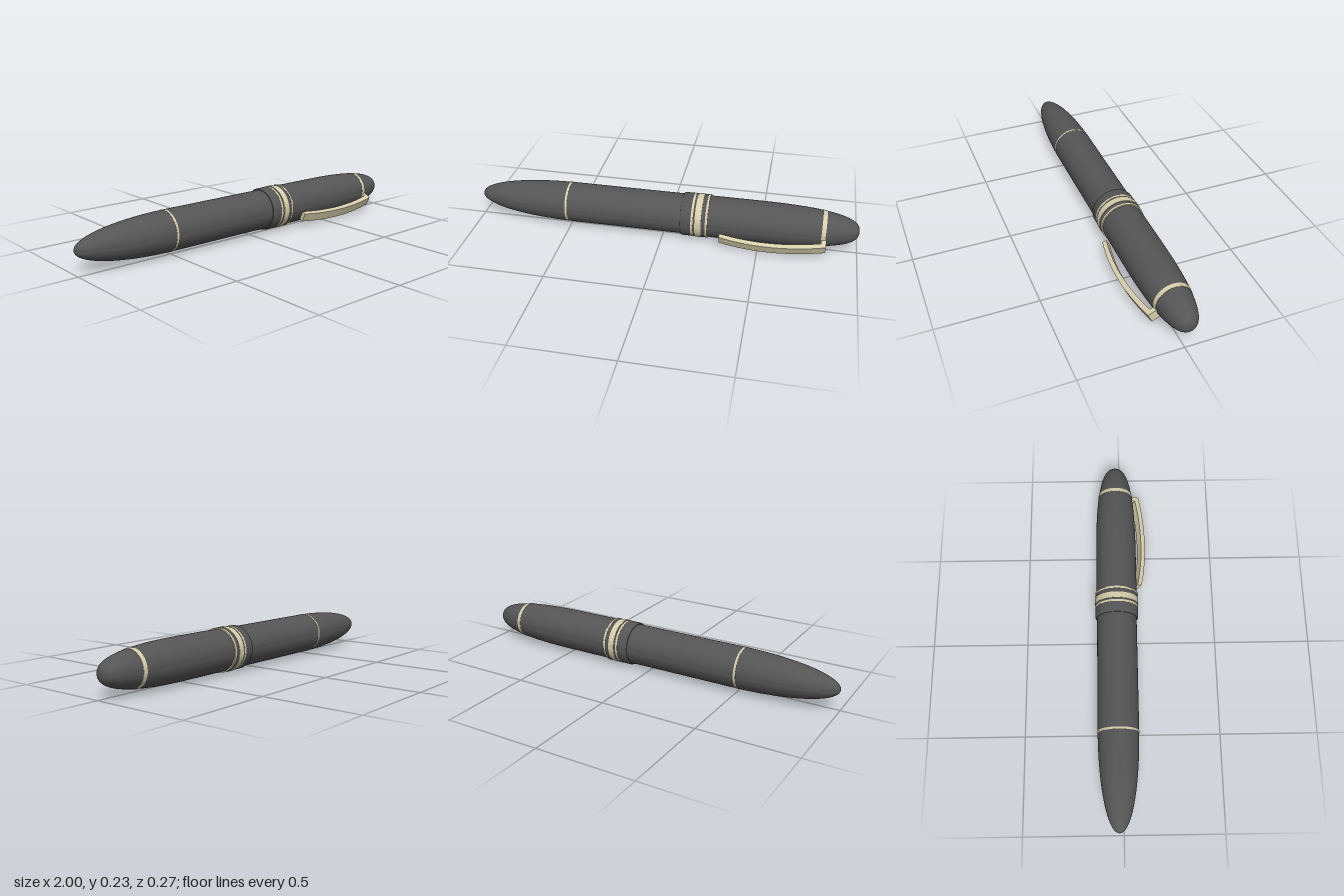
import * as THREE from 'three';
import { toCreasedNormals } from 'three/addons/utils/BufferGeometryUtils.js';

const AXIS_Y = 0.115, AXIS_Z = -0.022;

export function createModel() {
  const pen = new THREE.Group();
  pen.name = 'fountainPen';
  pen.position.set(0, AXIS_Y, AXIS_Z);

  const resin = new THREE.MeshStandardMaterial({ color: 0x555555 });
  resin.name = 'darkResin';
  const gold = new THREE.MeshStandardMaterial({ color: 0xd6ceac });
  gold.name = 'paleGold';

  const add = (name, geometry, material) => {
    const mesh = new THREE.Mesh(geometry, material);
    mesh.name = name;
    pen.add(mesh);
  };

  // Turns a list of [x, radius] around the pen's long axis, x ascending
  const turn = (name, profile, material) => {
    const points = profile.map(([x, r]) => new THREE.Vector2(r, x));
    const geometry = new THREE.LatheGeometry(points, 72).rotateZ(-Math.PI / 2);
    add(name, toCreasedNormals(geometry, 0.6), material);
  };

  // Superelliptic taper from radius r at x = start to a rounded tip at x = tip
  const taper = (start, tip, r, n, steps = 32) => {
    const list = [];
    for (let i = 0; i <= steps; i++) {
      const a = (i / steps) * Math.PI / 2;
      list.push([
        start + (tip - start) * Math.pow(Math.sin(a), 2 / n),
        i === steps ? 0 : r * Math.pow(Math.cos(a), 2 / n),
      ]);
    }
    return list;
  };
  const capRadius = (x) => 0.107 * Math.pow(1 - Math.pow(Math.max(0, (x - 0.45) / 0.55), 2.7), 1 / 2.7);

  // Barrel and cap
  turn('barrel', [...taper(-0.47, -1, 0.104, 2.1).reverse(), [0.12, 0.104]], resin);
  turn('cap', [[0.2, 0.107], ...taper(0.45, 1, 0.107, 2.7)], resin);
  turn('capLip', [
    [0.1, 0.1], [0.1, 0.108], [0.103, 0.1105], [0.108, 0.112],
    [0.232, 0.112], [0.238, 0.111], [0.238, 0.1],
  ], resin);

  // Gold bands, each [name, x start, x end, radius start, radius end]
  const bands = [
    ['barrelRing', -0.514, -0.503, 0.1045, 0.1048],
    ['lowerCapRing', 0.155, 0.166, 0.113, 0.113],
    ['broadCapBand', 0.176, 0.208, 0.114, 0.114],
    ['upperCapRing', 0.229, 0.24, 0.113, 0.113],
    ['clipRing', 0.813, 0.834, capRadius(0.813) + 0.0015, capRadius(0.834) + 0.0015],
  ];
  for (const [name, x0, x1, r0, r1] of bands) {
    turn(name, [[x0, r0 - 0.006], [x0, r0], [x1, r1], [x1, r1 - 0.006]], gold);
  }

  // Bowed clip: side outline drawn as (x, distance from axis), then swung to its angle
  const outline = new THREE.Shape();
  outline.moveTo(0.305, 0.115);
  outline.quadraticCurveTo(0.55, 0.168, 0.815, 0.109);
  outline.lineTo(0.815, 0.084);
  outline.lineTo(0.84, 0.084);
  outline.lineTo(0.84, 0.13);
  outline.quadraticCurveTo(0.56, 0.194, 0.305, 0.138);
  outline.closePath();
  const clip = new THREE.ExtrudeGeometry(outline, { depth: 0.05, bevelEnabled: false, curveSegments: 16 });
  clip.translate(0, 0, -0.025).rotateX(THREE.MathUtils.degToRad(114.5));
  add('clip', toCreasedNormals(clip, 0.5), gold);

  const model = new THREE.Group();
  model.name = 'model';
  model.add(pen);
  return model;
}
